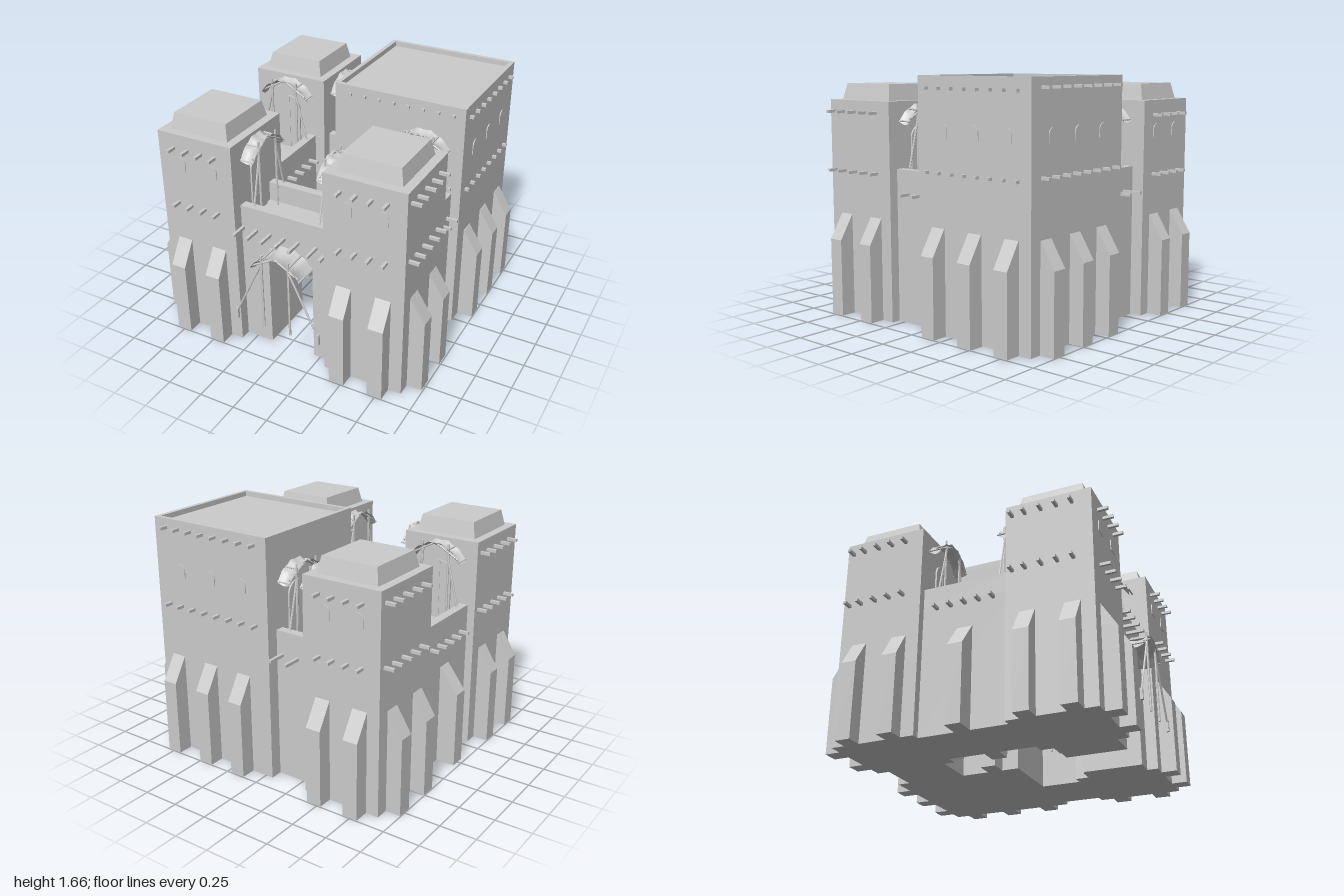
import * as THREE from 'three';

const stone = new THREE.MeshStandardMaterial({ color: 0xcccccc, flatShading: true });
const cloth = new THREE.MeshStandardMaterial({ color: 0xcccccc, side: THREE.DoubleSide });

function add(parent, name, geometry, material = stone) {
  const mesh = new THREE.Mesh(geometry, material);
  mesh.name = name;
  parent.add(mesh);
  return mesh;
}

// Box given by its limits on each axis
function box(parent, name, x0, x1, y0, y1, z0, z1) {
  const m = add(parent, name, new THREE.BoxGeometry(x1 - x0, y1 - y0, z1 - z0));
  m.position.set((x0 + x1) / 2, (y0 + y1) / 2, (z0 + z1) / 2);
  return m;
}

// Thin rod between two points
function rod(parent, name, a, b, r = 0.007) {
  const p = new THREE.Vector3(...a), q = new THREE.Vector3(...b);
  const m = add(parent, name, new THREE.CylinderGeometry(r, r, p.distanceTo(q), 6));
  m.position.copy(p).lerp(q, 0.5);
  m.quaternion.setFromUnitVectors(new THREE.Vector3(0, 1, 0), q.sub(p).normalize());
}

// Slab running through a building whose sloping ends form buttresses
function buttress(parent, axis, at, from, to, slope = 0.105) {
  const w = 0.106;
  const s = new THREE.Shape([[from, 0], [to, 0], [to, 0.53], [to - slope, 0.7], [from + slope, 0.7], [from, 0.53]]
    .map(p => new THREE.Vector2(...p)));
  const g = new THREE.ExtrudeGeometry(s, { depth: w, bevelEnabled: false }).translate(0, 0, -w / 2);
  if (axis === 'z') g.rotateY(-Math.PI / 2);
  const m = add(parent, 'buttress', g);
  m.position[axis === 'x' ? 'z' : 'x'] = at;
}

function arch(parent, name, w, h, depth) {
  const r = w / 2, s = new THREE.Shape();
  s.moveTo(-r, 0);
  s.lineTo(r, 0);
  s.lineTo(r, h - r);
  s.absarc(0, h - r, r, 0, Math.PI, false);
  s.closePath();
  return add(parent, name, new THREE.ExtrudeGeometry(s, { depth, bevelEnabled: false, curveSegments: 10 }));
}

// Group standing on a face: position plus heading about y
function place(parent, name, x, y, z, turn) {
  const g = new THREE.Group();
  g.name = name;
  g.position.set(x, y, z);
  g.rotation.y = turn * Math.PI / 2;
  parent.add(g);
  return g;
}

// Sagging cloth on posts, with slanted stays; door behind it
function canopy(parent, x, y, z, turn, { depth = 0.1, spread = 0.2, door = true } = {}) {
  const g = place(parent, 'canopy', x, y, z, turn);
  const front = depth - 0.015;
  const profile = [[0, 0.56], [0.05, 0.565], [0.09, 0.535], [0.135, 0.52], [0.165, 0.48], [0.19, 0.45]];
  const heights = u => {
    const a = Math.abs(u);
    const i = Math.max(1, profile.findIndex(p => p[0] >= a - 1e-6));
    const [p, q] = [profile[i - 1], profile[i]];
    return p[1] + (q[1] - p[1]) * (a - p[0]) / (q[0] - p[0]);
  };
  const sheet = new THREE.PlaneGeometry(0.38, 1, 24, 6).rotateX(-Math.PI / 2);
  const pos = sheet.attributes.position;
  for (let i = 0; i < pos.count; i++) {
    const u = pos.getX(i), v = pos.getZ(i) + 0.5;
    pos.setXYZ(i, u * (1 - 0.07 * Math.sin(Math.PI * v)), heights(u) - 0.022 * Math.sin(Math.PI * v), v * depth);
  }
  sheet.computeVertexNormals();
  add(g, 'canopyCloth', sheet, cloth);
  if (door) {
    arch(g, 'door', 0.17, 0.42, 0.012);
    box(g, 'doorSeam', -0.002, 0.002, 0, 0.41, 0.01, 0.015);
  }
  for (const s of [-1, 1]) {
    rod(g, 'post', [s * 0.1, 0, front], [s * 0.1, 0.565, front], 0.008);
    rod(g, 'bracket', [s * 0.1, 0.53, 0], [s * 0.1, 0.53, front]);
    rod(g, 'eavePole', [s * 0.185, 0.455, 0], [s * 0.185, 0.455, depth], 0.006);
    rod(g, 'rafter', [0, 0.565, front], [s * 0.17, 0.47, front]);
    rod(g, 'stay', [s * 0.085, 0.53, front], [s * spread, 0.06, front]);
    box(g, 'stayFoot', s * spread - 0.009, s * spread + 0.009, 0, 0.08, front - 0.009, front + 0.009);
  }
}

// Row of beam ends along a face
function beams(parent, name, x, y, z, turn, offsets, out) {
  const g = place(parent, name, x, y, z, turn);
  for (const o of offsets) box(g, 'beam', o - 0.01, o + 0.01, -0.01, 0.01, -0.02, out);
}

function windows(parent, x, y, z, turn, offsets) {
  const g = place(parent, 'windows', x, y, z, turn);
  for (const o of offsets) arch(g, 'window', 0.085, 0.095, 0.006).position.x = o;
}

function tower(root, name, cx, cz, sides) {
  const g = place(root, name, cx, 0, cz, 0);
  const hx = 0.28, hz = 0.293;
  box(g, 'towerBody', -hx, hx, 0, 1.485, -hz, hz);
  // sloped roof cap
  const cap = new THREE.CylinderGeometry(0.395 / Math.SQRT2, 0.44 / Math.SQRT2, 0.11, 4)
    .rotateY(Math.PI / 4).scale(1, 1, 1.06);
  add(g, 'roofCap', cap).position.y = 1.54;
  for (const s of [-1, 1]) {
    buttress(g, 'x', s * 0.148, -hx - 0.105, hx + 0.105);
    buttress(g, 'z', s * 0.138, -hz - 0.105, hz + 0.105);
  }
  const row = [-0.16, -0.055, 0.05, 0.155];
  for (const turn of sides) {
    const side = turn % 2, k = turn > 1 ? -1 : 1;
    const x = side ? k * hx : 0, z = side ? 0 : k * hz;
    for (const y of side ? [1.405, 1] : [1.385, 0.98])
      beams(g, 'towerBeams', x, y, z, turn, side ? [-0.245, -0.155, ...row.slice(1).map(v => v + 0.01)] : row, 0.07);
    if (!side) windows(g, x, 1.23, z, turn, [-0.122, 0.122]);
  }
}

// Walkway with a parapet on both edges
function wall(root, name, axis, x0, x1, z0, z1, opening) {
  const g = place(root, name, 0, 0, 0, 0), deck = 0.9, top = 1.037, t = 0.06;
  if (opening) {
    box(g, 'gatePier', x0, opening[0], 0, deck, z0, z1);
    box(g, 'gatePier', opening[1], x1, 0, deck, z0, z1);
    box(g, 'gateLintel', opening[0], opening[1], 0.7, deck, z0, z1);
  } else box(g, 'wallBody', x0, x1, 0, deck, z0, z1);
  if (axis === 'x') {
    box(g, 'parapet', x0, x1, deck, top, z0, z0 + t);
    box(g, 'parapet', x0, x1, deck, top, z1 - t, z1);
  } else {
    box(g, 'parapet', x0, x0 + t, deck, top, z0, z1);
    box(g, 'parapet', x1 - t, x1, deck, top, z0, z1);
  }
  return g;
}

export function createModel() {
  const root = new THREE.Group();
  root.name = 'fortress';

  // Corner towers (sides: 0 front, 1 left, 2 back, 3 right in quarter turns)
  tower(root, 'frontRightTower', -0.61, 0.597, [0, 3]);
  tower(root, 'frontLeftTower', 0.605, 0.597, [0, 1]);
  tower(root, 'backRightTower', -0.61, -0.597, [2, 3]);

  // Keep with a shallow rimmed roof
  const keep = place(root, 'keep', 0, 0, 0, 0);
  const [x0, x1, z0, z1] = [-0.053, 0.885, -0.89, 0.03];
  box(keep, 'keepBody', x0, x1, 0, 1.625, z0, z1);
  const rim = 0.03;
  box(keep, 'roofRim', x0, x1, 1.625, 1.66, z0, z0 + rim);
  box(keep, 'roofRim', x0, x1, 1.625, 1.66, z1 - rim, z1);
  box(keep, 'roofRim', x0, x0 + rim, 1.625, 1.66, z0 + rim, z1 - rim);
  box(keep, 'roofRim', x1 - rim, x1, 1.625, 1.66, z0 + rim, z1 - rim);
  for (const z of [-0.745, -0.45, -0.14]) buttress(keep, 'x', z, -0.17, 0.995);
  for (const x of [0.165, 0.45, 0.745]) buttress(keep, 'z', x, -0.995, -0.1);
  const row = [...Array(8)].map((_, i) => -0.37 + i * 0.106);
  for (const y of [1.6, 1.07]) {
    beams(keep, 'keepBeams', 0.435, y, z1, 0, row, 0.02);
    beams(keep, 'keepBeams', 0.415, y, z0, 2, row, 0.06);
    beams(keep, 'keepBeams', x1, y - 0.02, -0.42, 1, row, 0.03);
  }
  windows(keep, x1, 1.27, -0.44, 1, [-0.26, 0, 0.26]);
  windows(keep, 0.42, 1.27, z0, 2, [-0.26, 0, 0.26]);

  // Connecting walls, with joists passing through
  const front = wall(root, 'frontWall', 'x', -0.335, 0.33, 0.405, 0.815, [-0.13, 0.2]);
  for (const x of [-0.315, -0.215, -0.11, -0.005, 0.1, 0.23, 0.32])
    box(front, 'joist', x - 0.01, x + 0.01, 0.865, 0.885, 0.27, 0.94);
  const back = wall(root, 'backWall', 'x', -0.335, -0.05, -0.805, -0.38);
  for (const x of [-0.22, -0.1]) box(back, 'joist', x - 0.01, x + 0.01, 0.865, 0.885, -0.94, -0.3);
  const right = wall(root, 'rightWall', 'z', -0.835, -0.405, -0.31, 0.31);
  for (const z of [-0.2, -0.1, 0, 0.1, 0.2]) box(right, 'joist', -0.905, -0.33, 0.865, 0.885, z - 0.01, z + 0.01);
  buttress(right, 'x', 0, -0.97, -0.285, 0.13);
  const left = wall(root, 'leftWall', 'z', 0.395, 0.82, 0.02, 0.31);
  for (const z of [0.09, 0.2]) box(left, 'joist', 0.33, 0.9, 0.865, 0.885, z - 0.01, z + 0.01);

  // Canopied doors above the walkways
  for (const [x, z, turn] of [
    [-0.33, 0.6, 1], [0.325, 0.6, 3], [-0.33, -0.595, 1], [-0.053, -0.595, 3],
    [-0.615, 0.304, 2], [-0.615, -0.304, 0], [0.605, 0.304, 2], [0.605, 0.03, 0],
  ]) canopy(root, x, 0.9, z, turn);

  // Ground gates
  canopy(root, 0.015, 0.25, 0.815, 0, { depth: 0.175, spread: 0.31, door: false });
  canopy(root, 0.115, 0.25, 0.03, 0, { depth: 0.085, spread: 0.285 });
  return root;
}
